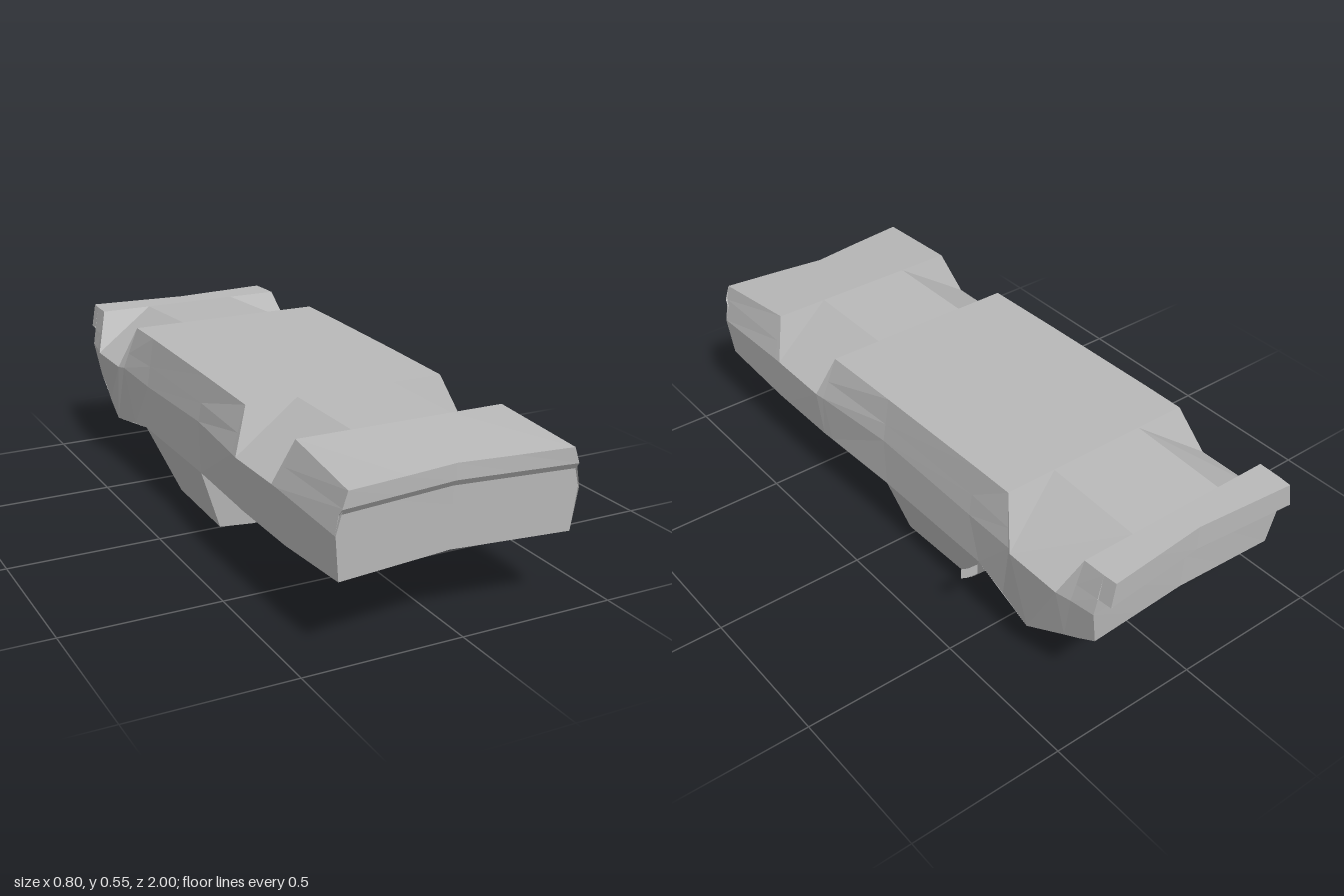
import * as THREE from 'three';

const CX = -0.012; // the body sits slightly off the centre line
const paint = new THREE.MeshStandardMaterial({ color: 0xb8b8b8 });
paint.name = 'grey';
paint.side = THREE.DoubleSide;

// Skins consecutive rows of [x, y, z] points with flat, faceted quads
function loft(name, rows) {
  const pos = [];
  const v = p => new THREE.Vector3(...p);
  const tri = (a, b, c) => {
    const n = v(b).sub(v(a)).cross(v(c).sub(v(a)));
    if (n.length() < 1e-7) return;
    for (const p of [a, b, c]) pos.push(p[0] + CX, p[1], p[2]);
  };
  for (let r = 0; r + 1 < rows.length; r++) {
    for (let i = 0; i + 1 < rows[r].length; i++) {
      const a = rows[r][i], b = rows[r][i + 1], c = rows[r + 1][i + 1], d = rows[r + 1][i];
      tri(a, c, b);
      tri(a, d, c);
    }
  }
  const g = new THREE.BufferGeometry();
  g.setAttribute('position', new THREE.Float32BufferAttribute(pos, 3));
  g.computeVertexNormals();
  const mesh = new THREE.Mesh(g, paint);
  mesh.name = name;
  return mesh;
}

const flip = p => [-p[0], p[1], p[2]];
// Half row from +x to the centre, mirrored into a full row (+x to -x)
const mirror = half => {
  const rest = half.slice().reverse().map(flip);
  if (Math.abs(half[half.length - 1][0]) < 1e-6) rest.shift();
  return [...half, ...rest];
};
const reversed = rows => rows.map(r => r.slice().reverse());
// Five points across with a centre pushed to a different depth
const across = (h, y, z, zc) => mirror([[h, y, z], [h / 2, y, (z + zc) / 2], [0, y, zc]]);

// Stations: top edge, widest line, lower edge; arch stations cut a wedge
const stations = [
  { t: [0.355, 0.5, 1], w: [0.385, 0.375, 0.99], b: [0.37, 0.24, 0.98], zc: 0.957 },
  { t: [0.338, 0.53, 0.67], w: [0.388, 0.39, 0.65], b: [0.37, 0.22, 0.67] },
  { t: [0, 0.53, 0.67], w: [0.388, 0.39, 0.62], b: [0.37, 0.22, 0.62], arch: true },
  { t: [0, 0.53, 0.34], w: [0.39, 0.39, 0.385], b: [0.37, 0.22, 0.385], arch: true },
  { t: [0.335, 0.53, 0.34], w: [0.386, 0.39, 0.35], b: [0.368, 0.22, 0.34] },
  { t: [0.335, 0.538, 0.04], w: [0.36, 0.39, 0.04], b: [0.355, 0.217, 0.04] },
  { t: [0.335, 0.546, -0.4], w: [0.36, 0.38, -0.4], b: [0.355, 0.22, -0.44] },
  { t: [0.335, 0.547, -0.55], w: [0.372, 0.395, -0.6], b: [0.35, 0.17, -0.55], r: [-0.355, 0.202, -0.55] },
  { t: [0, 0.547, -0.55], w: [0.385, 0.395, -0.62], b: [0.348, 0.12, -0.66], r: [-0.355, 0.168, -0.73], arch: true },
  { t: [0, 0.53, -0.88], w: [0.385, 0.395, -0.82], b: [0.345, 0.209, -0.82], r: [-0.35, 0.213, -0.82], arch: true },
  { t: [0.34, 0.53, -0.88], w: [0.374, 0.395, -0.87], b: [0.342, 0.24, -0.88] },
  { t: [0.338, 0.53, -0.955], w: [0.362, 0.395, -0.95], b: [0.34, 0.275, -0.94], zc: -0.935 },
];

const INNER = 0.165; // where the wheel arch wedge meets the flat underbody

function shellRow({ t, w, b, r, arch, zc = t[2] }) {
  const k = (t[1] - 0.45) / (t[1] - w[1]);
  const lip = arch ? w : t.map((n, i) => n + (w[i] - n) * k);
  const row = mirror([b, w, lip, arch ? w : t,
    [INNER, t[1], (t[2] + zc) / 2], [0, t[1], zc]]);
  if (r) row[row.length - 1] = r;
  return row;
}

export function createModel() {
  const model = new THREE.Group();
  model.name = 'overturnedTruckBody';
  const add = (name, rows) => model.add(loft(name, rows));

  // Flat underbody, wheel arches and flanks
  add('bodyShell', stations.map(shellRow));

  // Tail end with a shallow overhanging ledge
  add('tailPanel', reversed([
    across(0.355, 0.5, 1, 0.957),
    across(0.372, 0.45, 1, 0.957),
    across(0.374, 0.43, 0.985, 0.942),
    across(0.385, 0.375, 0.985, 0.94),
    across(0.37, 0.24, 0.98, 0.937),
  ]));

  // Nose end
  add('nosePanel', [
    across(0.338, 0.53, -0.955, -0.935),
    across(0.352, 0.45, -0.953, -0.935),
    across(0.362, 0.395, -0.95, -0.93),
    across(0.34, 0.275, -0.94, -0.925),
  ]);

  // Bumper lip beyond the nose
  const lipRow = (z, zc, d) => mirror([
    [0.345 - d, 0.45, z], [0.352 - d, 0.45, z], [0.338 - d, 0.53, z],
    [INNER, 0.53, (z + zc) / 2], [0, 0.53, zc]]);
  add('bumper', [lipRow(-0.955, -0.935, 0), lipRow(-1, -0.972, 0.004)]);
  add('bumperFace', [across(0.334, 0.53, -1, -0.972), across(0.348, 0.45, -1, -0.972)]);
  add('bumperUnderside', reversed([
    across(0.352, 0.45, -0.953, -0.935), across(0.348, 0.45, -1, -0.972)]));

  // Open cargo bed: rim, inner walls and recessed floor
  const R = 0.29, FLOOR = 0.375;
  const bedRow = (b, floorY, zc) => mirror([
    b, [R, b[1], (b[2] + zc) / 2], [R, floorY, (b[2] + zc) / 2], [0, floorY, zc]]);
  const bed = stations.slice(1, 6).map(s => bedRow(s.b, FLOOR, s.b[2]));
  add('cargoBed', reversed([
    bedRow([0.37, 0.24, 0.98], 0.24, 0.937),
    bedRow([0.37, 0.238, 0.945], 0.238, 0.9),
    bedRow([0.37, 0.238, 0.945], FLOOR, 0.9),
    ...bed,
    bedRow([0.355, 0.217, 0.04], 0.217, 0.04),
  ]));

  // Cabin: back wall, roof and windscreen, then the two sides
  const back = [0.355, 0.217, 0.04], roofBack = [0.285, 0.01, 0.02];
  const roofFront = [0.285, 0.022, -0.31], front = [0.355, 0.22, -0.44];
  const cabRow = (p, y) => mirror([p, [0.17, y, p[2]]]);
  add('cabin', reversed([
    cabRow(back, 0.217), cabRow(roofBack, 0), cabRow(roofFront, 0.012), cabRow(front, 0.22)]));
  const side = [[back, front], [roofBack, roofFront]];
  add('leftCabinSide', side);
  add('rightCabinSide', reversed(side.map(r => r.map(flip))));

  // Buckled bonnet, hanging lower on its left side
  add('bonnet', reversed([
    across(0.355, 0.22, -0.44, -0.44),
    [[0.348, 0.12, -0.66], [0.17, 0.127, -0.705], [0, 0.132, -0.73],
      [-0.17, 0.145, -0.735], [-0.355, 0.168, -0.73]],
    across(0.34, 0.275, -0.94, -0.925),
  ]));

  // Single wing mirror, a thin bent plate
  add('wingMirror', [0.215, 0.178].map(y => [
    [0.414, y, -0.43], [0.395, y, -0.44], [0.362, y, -0.443]]));

  return model;
}
